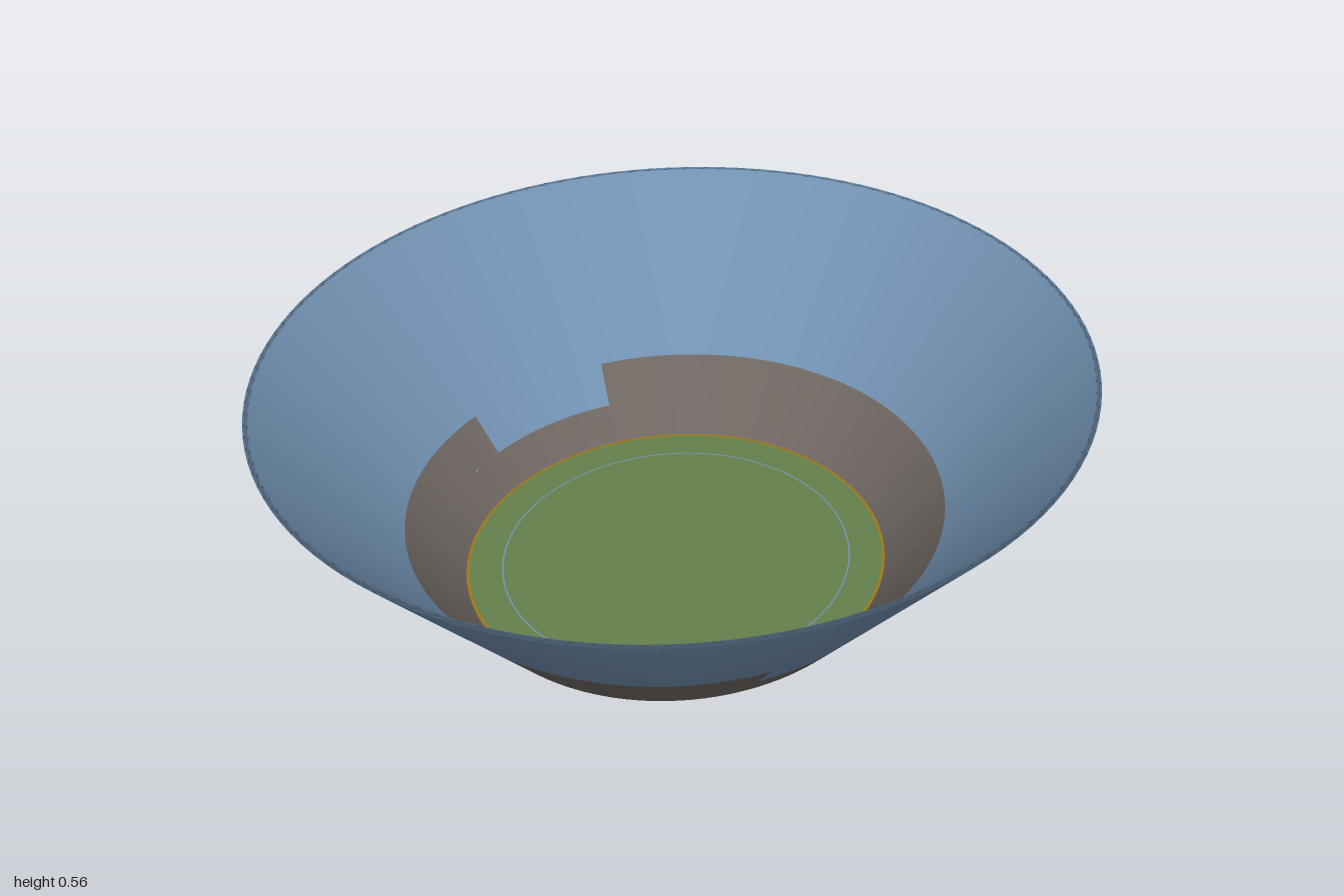
import * as THREE from 'three';
import { mergeGeometries } from 'three/addons/utils/BufferGeometryUtils.js';

const HEIGHT = 0.56;
const SQUASH = 0.932;      // plan is an ellipse, narrower in x
const WALL = 0.014;        // horizontal wall thickness
const GAP = 0.3;           // half angle of the side openings
const SEGMENTS = 128;

// Outer radius of the sloping wall at a height
const radiusAt = (y) => 0.535 + (0.465 * y) / HEIGHT;

const material = (name, color) => {
  const m = new THREE.MeshStandardMaterial({ color });
  m.name = name;
  return m;
};

export function createModel() {
  const blue = material('steel blue', 0x7292b2);
  const brown = material('stone brown', 0x6f6762);
  const green = material('grass green', 0x64804c);
  const ochre = material('ochre', 0xa07818);
  const model = new THREE.Group();
  model.name = 'ovalBowl';

  const add = (name, geometry, mat, y = 0) => {
    geometry.scale(SQUASH, 1, 1);
    const mesh = new THREE.Mesh(geometry, mat);
    mesh.name = name;
    mesh.position.y = y;
    model.add(mesh);
  };

  const lathe = (pts, start = 0, length = Math.PI * 2) =>
    new THREE.LatheGeometry(pts.map(([r, y]) => new THREE.Vector2(r, y)),
      Math.max(8, Math.round((SEGMENTS * length) / (Math.PI * 2))), start, length);

  // Outer and inner skin of one band of the wall
  const band = (y0, y1, start, length) => {
    const a = radiusAt(y0), b = radiusAt(y1);
    return mergeGeometries([
      lathe([[a, y0], [b, y1]], start, length),
      lathe([[b - WALL, y1], [a - WALL, y0]], start, length),
    ]);
  };

  // Upper stand: a closed ring with softly rounded shading at the rim
  const low = 0.173, a = radiusAt(low), b = radiusAt(HEIGHT);
  add('upperWall', lathe([[a - WALL, low], [a, low], [b, HEIGHT],
    [b - WALL, HEIGHT], [a - WALL, low]]), blue);

  // Lower wall, with a blue panel in its upper half on each side
  const sill = 0.085;
  add('lowerWall', band(0, sill), brown);
  for (const [side, angle] of [['left', Math.PI / 2], ['right', -Math.PI / 2]]) {
    add(side + 'Panel', band(sill, low, angle - GAP, GAP * 2), blue);
    add(side === 'left' ? 'backWallBand' : 'frontWallBand',
      band(sill, low, angle + GAP, Math.PI - GAP * 2), brown);
  }

  // Floor slab
  const floor = new THREE.CylinderGeometry(0.536, 0.535, 0.006, SEGMENTS);
  add('floor', floor, green, 0.003);

  // Thin markings on the floor
  const ring = (inner, outer) =>
    new THREE.RingGeometry(inner, outer, SEGMENTS).rotateX(-Math.PI / 2);
  add('floorEdge', ring(0.519, 0.526), ochre, 0.008);
  add('floorLine', ring(0.434, 0.438), blue, 0.008);

  return model;
}
